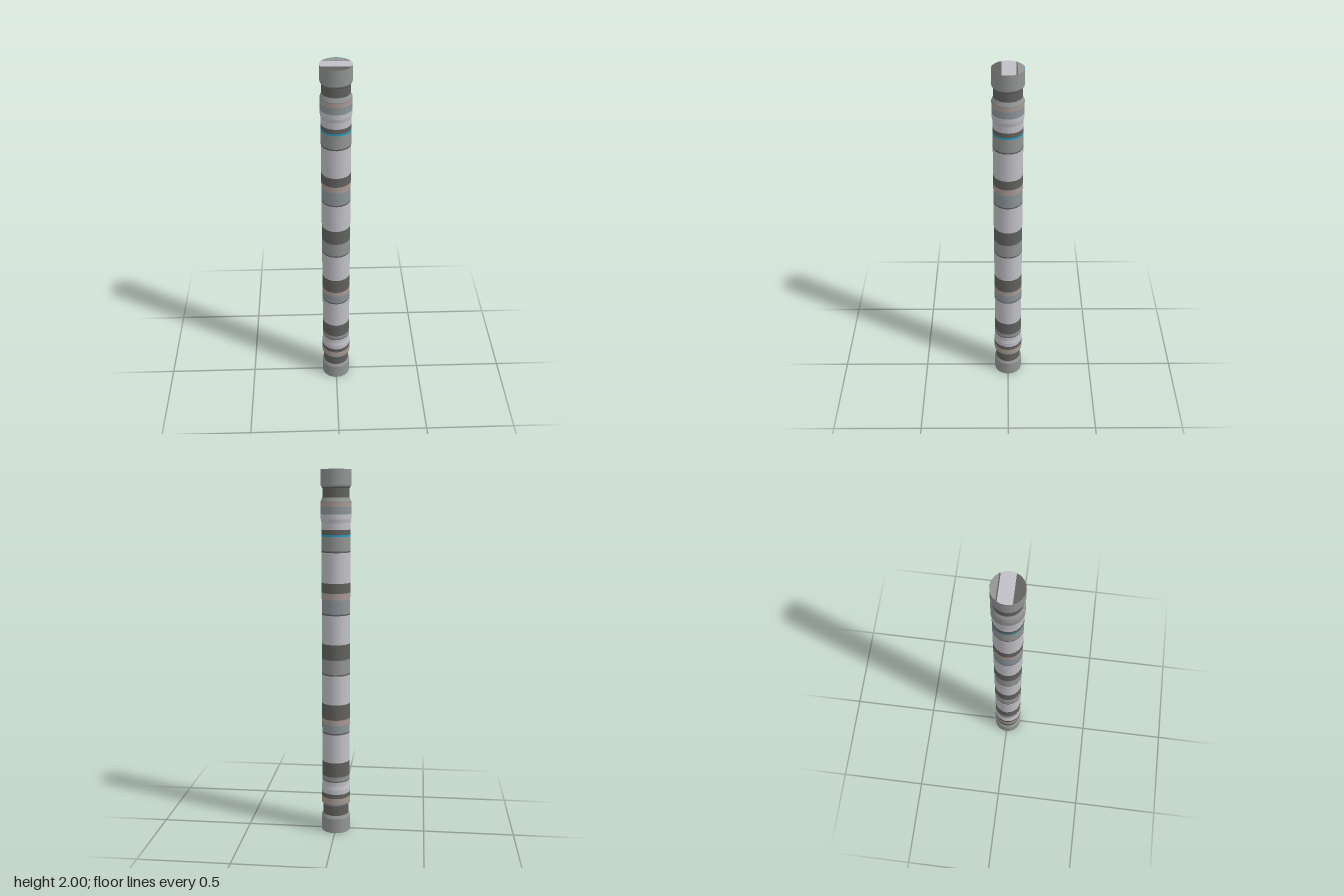
import * as THREE from 'three';
import { mergeGeometries } from 'three/addons/utils/BufferGeometryUtils.js';

const SIDES = 20;
const R = 0.081;

// Outline of the pole as [height, radius], from foot to head
const PROFILE = [
  [0, R], [0.083, R], [0.1, 0.072], [0.155, 0.072], [0.165, R], [0.255, R], [0.275, 0.077],
  [1.725, 0.077], [1.745, R], [1.835, R], [1.855, 0.072], [1.903, 0.072], [1.917, R], [2, R],
];

// Painted bands: [top height, colour, part name]
const BANDS = [
  [0.1, 'grey', 'footCap'], [0.155, 'dark', 'lowerNeck'], [0.175, 'grey', 'lowerCollarLip'],
  [0.205, 'tan', 'lowerCollarStripe'], [0.23, 'dark', 'lowerCollarBand'], [0.3, 'light', 'lowerCollarSleeve'],
  [0.306, 'dark', 'seam'], [0.33, 'grey', 'greyBand'], [0.413, 'dark', 'darkBand'], [0.576, 'light', 'sleeve'],
  [0.584, 'dark', 'seam'], [0.63, 'blueGrey', 'greyBand'], [0.66, 'tan', 'tanStripe'],
  [0.746, 'dark', 'darkBand'], [0.908, 'light', 'sleeve'],
  [0.916, 'dark', 'seam'], [0.995, 'grey', 'greyBand'], [1.08, 'dark', 'darkBand'], [1.238, 'light', 'sleeve'],
  [1.246, 'dark', 'seam'], [1.322, 'blueGrey', 'greyBand'], [1.357, 'tan', 'tanStripe'],
  [1.41, 'dark', 'darkBand'], [1.571, 'light', 'sleeve'],
  [1.579, 'dark', 'seam'], [1.654, 'grey', 'greyBand'], [1.664, 'cyan', 'lightStripe'],
  [1.69, 'dark', 'darkBand'], [1.77, 'light', 'upperCollarSleeve'],
  [1.808, 'blueGrey', 'upperCollarBand'], [1.83, 'tan', 'upperCollarStripe'], [1.856, 'grey', 'upperCollarLip'],
  [1.908, 'dark', 'upperNeck'], [2, 'grey', 'headCap'],
];

// Stripes across the end discs: [end of stripe, colour], starting at -R
const DISC_STRIPES = [[-0.078, 'cyan'], [-0.046, 'grey'], [-0.04, 'dark'], [0.03, 'light'], [R, 'dark']];

function radiusAt(y) {
  for (let i = 1; i < PROFILE.length; i++) {
    const [y0, r0] = PROFILE[i - 1], [y1, r1] = PROFILE[i];
    if (y <= y1) return r0 + (r1 - r0) * (y - y0) / (y1 - y0);
  }
  return R;
}

// One straight-sided ring per profile segment keeps the edges crisp
function bandGeometry(y0, y1) {
  const ys = [y0, ...PROFILE.map(p => p[0]).filter(y => y > y0 + 1e-4 && y < y1 - 1e-4), y1];
  const rings = [];
  for (let i = 1; i < ys.length; i++) {
    const pts = [ys[i - 1], ys[i]].map(y => new THREE.Vector2(radiusAt(y), y));
    rings.push(new THREE.LatheGeometry(pts, SIDES));
  }
  return mergeGeometries(rings);
}

// Slice of the end polygon between two parallel lines
function discStripe(s0, s1) {
  const corners = [];
  for (let i = 0; i <= SIDES / 2; i++) {
    const a = i * 2 * Math.PI / SIDES;
    corners.push([-R * Math.cos(a), R * Math.sin(a)]);
  }
  const halfWidth = s => {
    for (let i = 1; i < corners.length; i++) {
      const [a, wa] = corners[i - 1], [b, wb] = corners[i];
      if (s <= b) return wa + (wb - wa) * (s - a) / (b - a);
    }
    return 0;
  };
  const ss = [s0, ...corners.map(c => c[0]).filter(s => s > s0 + 1e-5 && s < s1 - 1e-5), s1];
  const right = ss.map(s => new THREE.Vector2(Math.max(halfWidth(s), 1e-5), -s));
  const left = ss.map(s => new THREE.Vector2(-Math.max(halfWidth(s), 1e-5), -s)).reverse();
  return new THREE.ShapeGeometry(new THREE.Shape([...right, ...left]));
}

export function createModel() {
  const colours = {
    light: 0xc0c0c6, grey: 0x929594, dark: 0x616160,
    blueGrey: 0x8c959a, tan: 0xa99b95, cyan: 0x229fc6,
  };
  const mats = {};
  for (const [name, color] of Object.entries(colours)) {
    mats[name] = new THREE.MeshStandardMaterial({ color });
    mats[name].name = name;
  }

  const model = new THREE.Group();
  model.name = 'bandedPole';
  const add = (geometry, colour, name) => {
    const mesh = new THREE.Mesh(geometry, mats[colour]);
    mesh.name = name;
    model.add(mesh);
    return mesh;
  };

  // Shaft, necks, collars and caps
  let y = 0;
  for (const [top, colour, name] of BANDS) {
    add(bandGeometry(y, top), colour, name);
    y = top;
  }

  // Striped end discs
  let s = -R;
  for (const [end, colour] of DISC_STRIPES) {
    const head = add(discStripe(s, end), colour, 'headDiscStripe');
    head.rotation.x = -Math.PI / 2;
    head.position.y = 2;
    const foot = add(discStripe(s, end), colour, 'footDiscStripe');
    foot.rotation.x = Math.PI / 2;
    s = end;
  }
  return model;
}
